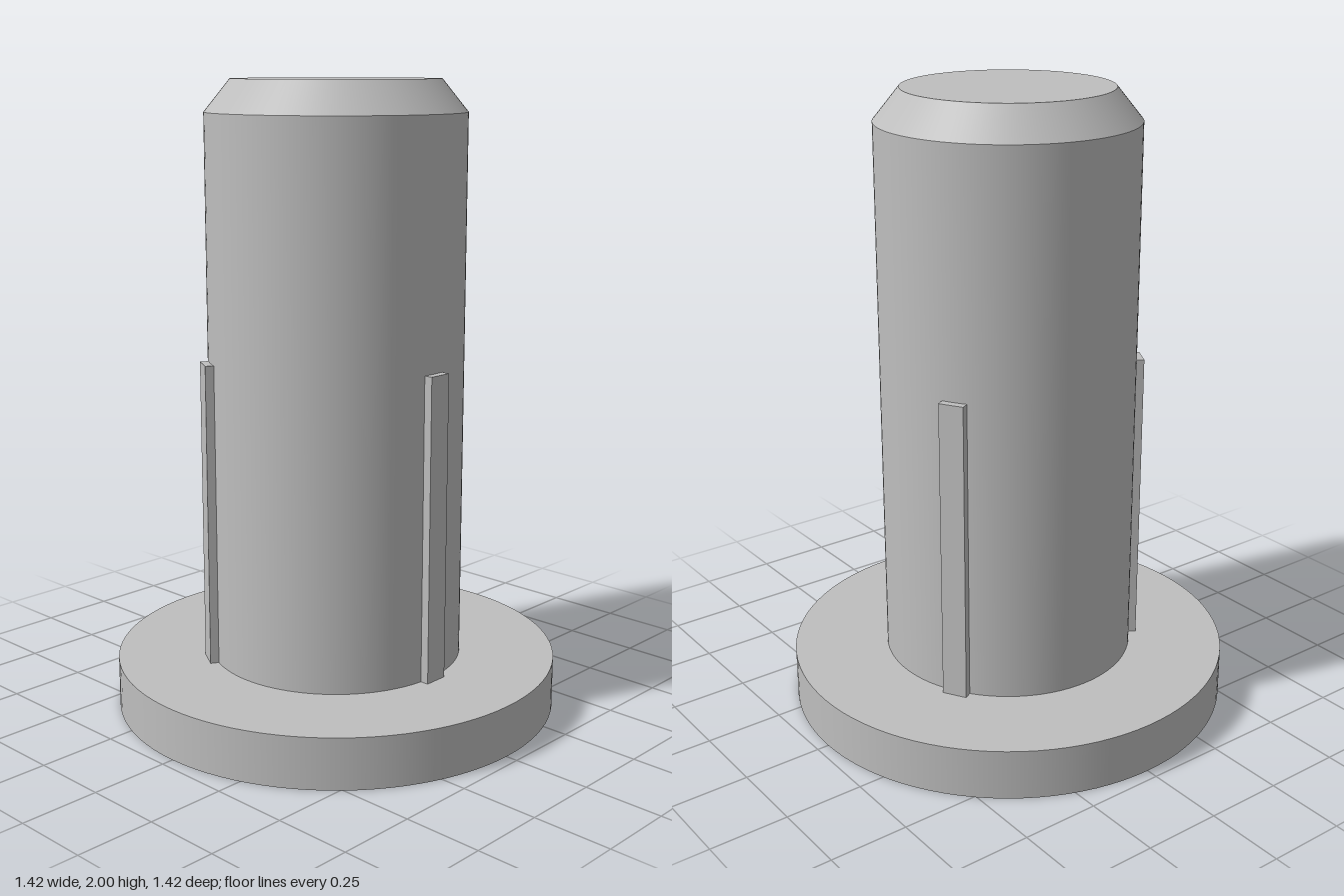
import * as THREE from 'three';

export function createModel() {
  const model = new THREE.Group();
  model.name = 'flangedPin';
  const grey = new THREE.MeshStandardMaterial({ color: 0xbebebe });
  grey.name = 'plain grey';

  const FLANGE_TOP = 0.163, CHAMFER_START = 1.9, TOP = 2;
  const PIN_RADIUS = 0.406, RIB_TOP = 1.135, RIB_OUTER = 0.431;

  const add = (name, geometry, y, parent = model) => {
    const mesh = new THREE.Mesh(geometry, grey);
    mesh.name = name;
    mesh.position.y = y;
    parent.add(mesh);
    return mesh;
  };
  // Round section between two heights
  const round = (name, rTop, rBottom, y0, y1, open) =>
    add(name, new THREE.CylinderGeometry(rTop, rBottom, y1 - y0, 96, 1, open), (y0 + y1) / 2);

  // Base flange, shaft and chamfered tip
  round('baseFlange', 0.712, 0.712, 0, FLANGE_TOP, false);
  round('shaft', PIN_RADIUS, PIN_RADIUS, FLANGE_TOP, CHAMFER_START, true);
  round('chamferedTip', 0.325, PIN_RADIUS, CHAMFER_START, TOP, false);

  // Three narrow ribs spaced evenly around the lower shaft
  const ribDepth = 0.05;
  const ribGeometry = new THREE.BoxGeometry(ribDepth, RIB_TOP - FLANGE_TOP, 0.08);
  for (let i = 0; i < 3; i++) {
    const holder = new THREE.Group();
    holder.name = 'ribHolder' + (i + 1);
    holder.rotation.y = (i * Math.PI * 2) / 3;
    const rib = add('rib' + (i + 1), ribGeometry, (FLANGE_TOP + RIB_TOP) / 2, holder);
    rib.position.x = RIB_OUTER - ribDepth / 2;
    model.add(holder);
  }
  return model;
}
